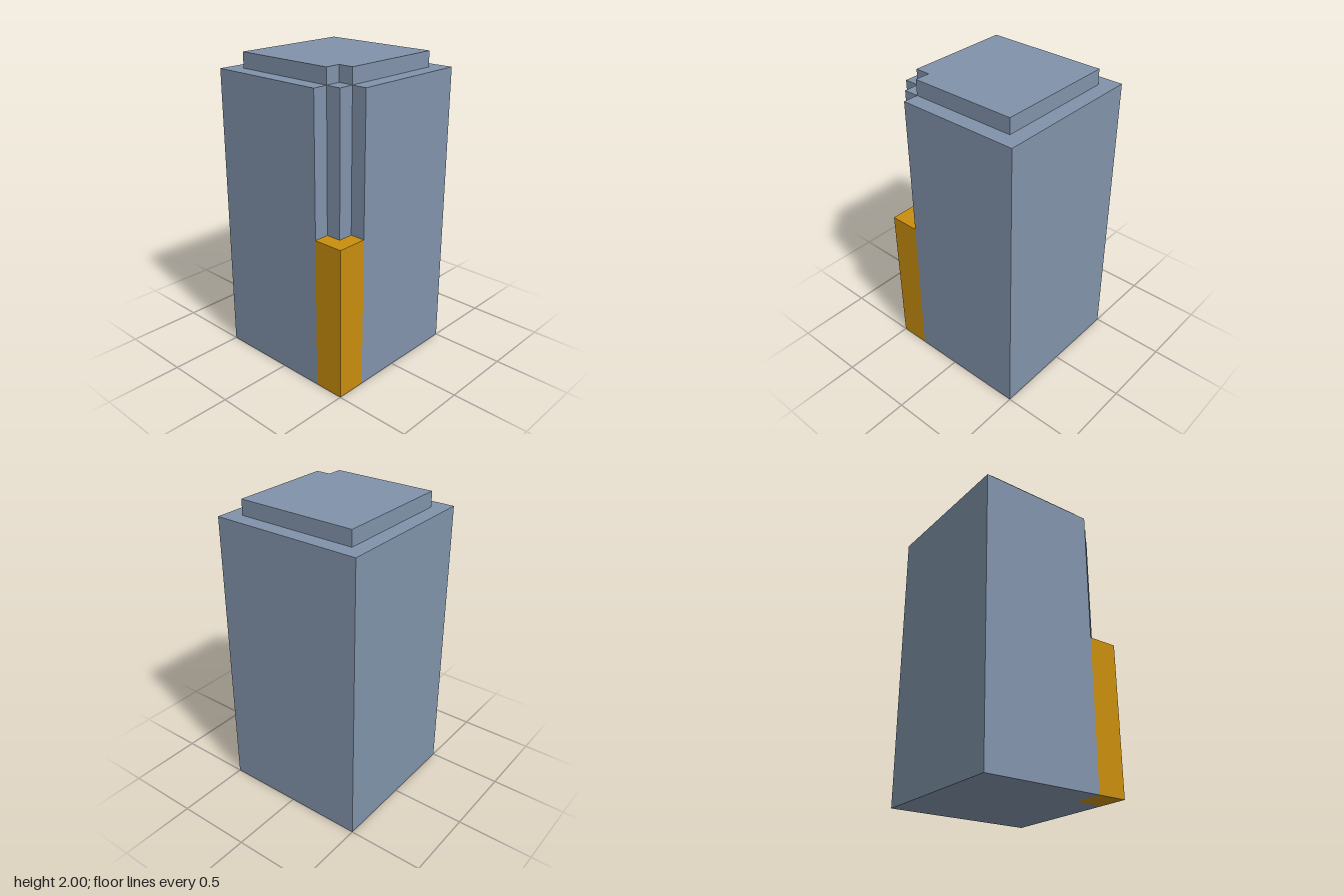
import * as THREE from 'three';

const slate = new THREE.MeshStandardMaterial({ color: 0x8193aa });
slate.name = 'slate blue';
const amber = new THREE.MeshStandardMaterial({ color: 0xc88d0d });
amber.name = 'amber';

// Upright prism from a floor plan given as [x, z] corners
function prism(name, plan, y0, y1, material) {
  const shape = new THREE.Shape(plan.map(([x, z]) => new THREE.Vector2(x, -z)));
  const geometry = new THREE.ExtrudeGeometry(shape, { depth: y1 - y0, bevelEnabled: false });
  geometry.rotateX(-Math.PI / 2).translate(0, y0, 0);
  const mesh = new THREE.Mesh(geometry, material);
  mesh.name = name;
  return mesh;
}

// Square plan of half-width h whose front left corner is cut back to c
const notched = (h, c) => [[-h, h], [c, h], [c, c], [h, c], [h, -h], [-h, -h]];
const square = (a, b) => [[a, b], [b, b], [b, a], [a, a]];

export function createModel() {
  const model = new THREE.Group();
  model.name = 'tower';
  model.add(
    // Main block and raised roof, both with the open corner
    prism('towerBody', notched(0.5, 0.3), 0, 1.9, slate),
    prism('roofCap', notched(0.4, 0.3), 1.9, 2, slate),
    // Corner: solid base below, slim column set back above it
    prism('cornerBase', square(0.3, 0.5), 0, 1, amber),
    prism('cornerColumn', square(0.3, 0.4), 1, 1.9, slate),
  );
  return model;
}
